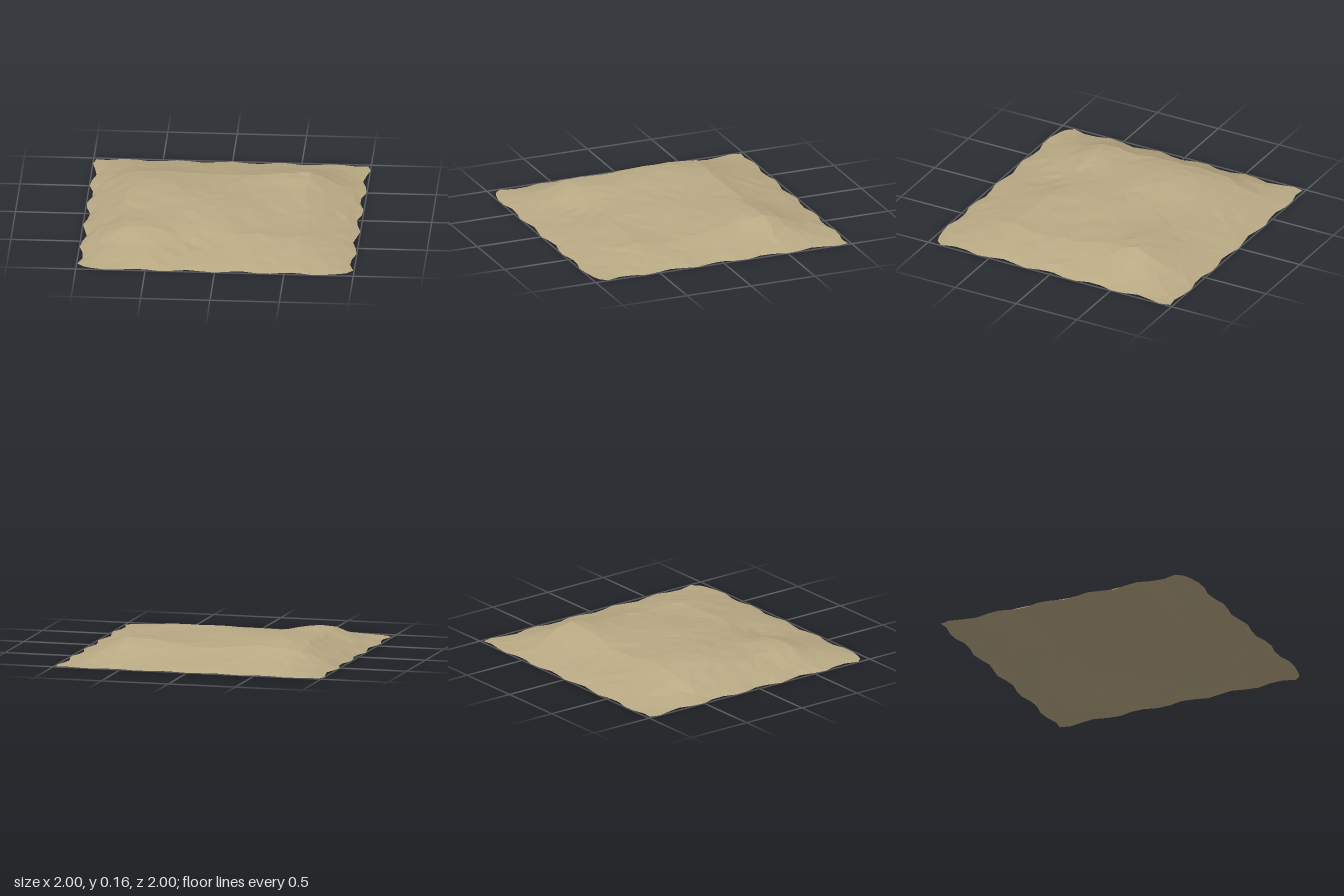
import * as THREE from 'three';

const PLATEAU = 0.1;

// Rises and hollows: centre, height change and radii
const MOUNDS = [
  { x: -0.48, z: -0.2, h: 0.06, rx: 0.35, rz: 0.4 }, // main summit
  { x: 0.62, z: -0.55, h: 0.05, rx: 0.3, rz: 0.25 }, // back right shoulder
  { x: 0.35, z: -0.4, h: 0.02, rx: 0.3, rz: 0.3 }, // saddle between them
  { x: -0.6, z: 0.48, h: 0.035, rx: 0.25, rz: 0.2 }, // front left knoll
  { x: 0, z: 0.1, h: 0.025, rx: 0.35, rz: 0.25 }, // middle rise
  { x: -0.2, z: 0.6, h: -0.04, rx: 0.18, rz: 0.2 }, // front gully
  { x: 0.55, z: 0.3, h: -0.025, rx: 0.35, rz: 0.3 }, // front right hollow
];

const ramp = (distance, width) => THREE.MathUtils.clamp(distance / width, 0, 1);

function heightAt(x, z) {
  const rim = ramp(x + 1, 0.3) * ramp(1 - x, 0.4) * ramp(z + 1, 0.5) * ramp(1 - z, 0.5);
  let h = PLATEAU;
  for (const m of MOUNDS) {
    h += m.h * Math.exp(-(((x - m.x) / m.rx) ** 2) - ((z - m.z) / m.rz) ** 2);
  }
  return rim * h;
}

function seeded(seed) {
  return () => {
    seed = (seed * 16807) % 2147483647;
    return seed / 2147483647;
  };
}

// Faceted sheet of ground with irregular cells and a rippled outline
function terrainGeometry(n = 20) {
  const rand = seeded(4217);
  const jitter = (a) => (rand() * 2 - 1) * a;
  const pos = [];
  const index = [];
  for (let j = 0; j <= n; j++) {
    for (let i = 0; i <= n; i++) {
      let x = (i / n) * 2 - 1;
      let z = (j / n) * 2 - 1;
      let y = 0;
      const sideEdge = i === 0 || i === n;
      const endEdge = j === 0 || j === n;
      if (sideEdge && endEdge) {
        // clipped corners
        const c = j ? 0.95 : 0.98;
        x *= c;
        z *= c;
      } else if (sideEdge) {
        x *= 0.98 + 0.02 * Math.cos((z + 0.9) * 17);
      } else if (endEdge) {
        z *= 0.984 + 0.016 * Math.cos((x + 0.75) * 17);
      } else {
        x += jitter(0.025);
        z += jitter(0.025);
        y = Math.max(0, heightAt(x, z) + jitter(0.004));
      }
      pos.push(x, y, z);
    }
  }
  // cells split along either diagonal
  for (let j = 0; j < n; j++) {
    for (let i = 0; i < n; i++) {
      const a = j * (n + 1) + i;
      const b = a + 1;
      const c = a + n + 1;
      const d = c + 1;
      if (rand() < 0.5) index.push(a, c, b, b, c, d);
      else index.push(a, c, d, a, d, b);
    }
  }
  const geo = new THREE.BufferGeometry();
  geo.setAttribute('position', new THREE.Float32BufferAttribute(pos, 3));
  geo.setIndex(index);
  const flat = geo.toNonIndexed();
  flat.computeVertexNormals();
  return flat;
}

export function createModel() {
  const group = new THREE.Group();
  group.name = 'terrainPatch';
  const material = new THREE.MeshStandardMaterial({
    color: 0xb9a984,
    flatShading: true,
    side: THREE.DoubleSide,
  });
  const ground = new THREE.Mesh(terrainGeometry(), material);
  ground.name = 'ground';
  group.add(ground);
  return group;
}
